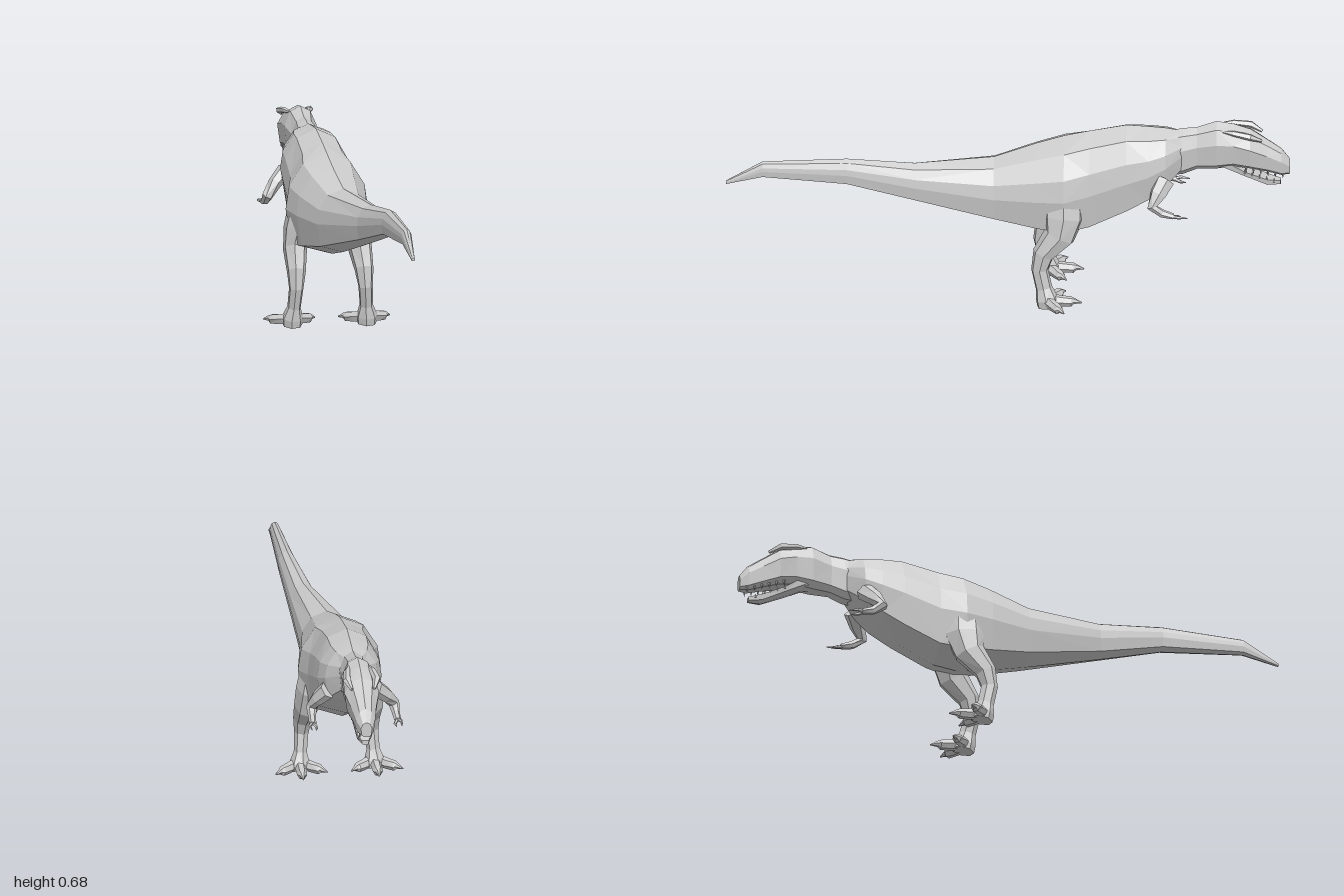
import * as THREE from 'three';

const material = new THREE.MeshStandardMaterial({ color: 0xcccccc, flatShading: true });

// Skin a list of equal-length point rings and close both ends.
function loft(rings) {
  const n = rings[0].length, last = (rings.length - 1) * n, index = [];
  for (let i = 0; i < rings.length - 1; i++) {
    for (let j = 0; j < n; j++) {
      const k = (j + 1) % n;
      const a = i * n + j, b = i * n + k, c = a + n, d = b + n;
      if ((i + j) % 2) index.push(a, c, b, b, c, d);
      else index.push(a, c, d, a, d, b);
    }
  }
  for (let j = 1; j < n - 1; j++) {
    index.push(0, j, j + 1, last, last + j + 1, last + j);
  }
  const geometry = new THREE.BufferGeometry().setFromPoints(rings.flat());
  geometry.setIndex(index);
  geometry.computeVertexNormals();
  return geometry;
}

// Sections along z: [z, centre x, half width, top y, bottom y].
function trunk(sections, outline) {
  const ring = [...outline, ...outline.slice(1, -1).reverse().map(([x, y]) => [-x, y])];
  return loft(sections.map(([z, cx, w, top, bottom]) => ring.map(([x, y]) =>
    new THREE.Vector3(cx + x * w, (top + bottom) / 2 + y * (top - bottom) / 2, z))));
}

// Limb along a path: [x, y, z, side radius, depth radius].
function limb(path, side = 1, sides = 6) {
  const points = path.map(([x, y, z]) => new THREE.Vector3(x * side, y, z));
  return loft(points.map((p, i) => {
    const t = points[Math.min(i + 1, points.length - 1)].clone()
      .sub(points[Math.max(i - 1, 0)]).normalize();
    const u = new THREE.Vector3(1, 0, 0).addScaledVector(t, -t.x).normalize();
    const v = u.clone().cross(t);
    const [, , , ru, rv] = path[i];
    return Array.from({ length: sides }, (_, j) => {
      const a = j / sides * Math.PI * 2;
      return p.clone().addScaledVector(u, Math.cos(a) * ru).addScaledVector(v, Math.sin(a) * rv);
    });
  }));
}

export function createModel() {
  const model = new THREE.Group();
  const add = (name, geometry, parent = model) => {
    const mesh = new THREE.Mesh(geometry, material);
    mesh.name = name;
    parent.add(mesh);
    return mesh;
  };
  const group = (name) => {
    const g = new THREE.Group();
    g.name = name;
    model.add(g);
    return g;
  };

  // Torso and tail, with the tail swung to the left
  add('bodyAndTail', trunk([
    [-0.62, 0, 0.045, 0.635, 0.49],
    [-0.56, 0, 0.095, 0.645, 0.43],
    [-0.50, 0, 0.115, 0.65, 0.38],
    [-0.42, 0, 0.12, 0.655, 0.33],
    [-0.29, 0, 0.125, 0.63, 0.265],
    [-0.20, 0, 0.148, 0.61, 0.25],
    [-0.10, 0.003, 0.13, 0.58, 0.265],
    [0.05, 0.015, 0.095, 0.53, 0.30],
    [0.33, 0.065, 0.05, 0.525, 0.385],
    [0.57, 0.093, 0.031, 0.552, 0.455],
    [0.87, 0.1, 0.018, 0.54, 0.48],
    [1.0, 0.1, 0.006, 0.462, 0.45],
  ], [[0, 1], [0.58, 0.8], [0.92, 0.35], [1, -0.1], [0.86, -0.8], [0, -1]]));

  // Neck, skull and upper jaw
  const head = group('head');
  add('neckAndSkull', trunk([
    [-1.0, 0, 0.02, 0.53, 0.475],
    [-0.97, 0, 0.035, 0.57, 0.473],
    [-0.92, 0, 0.045, 0.605, 0.488],
    [-0.86, 0, 0.062, 0.645, 0.503],
    [-0.80, 0, 0.058, 0.665, 0.51],
    [-0.74, 0, 0.058, 0.675, 0.5],
    [-0.67, 0, 0.044, 0.65, 0.495],
    [-0.62, 0, 0.05, 0.645, 0.475],
    [-0.5, 0, 0.05, 0.62, 0.46],
  ], [[0, 1], [0.62, 0.78], [1, 0.2], [0.85, -0.75], [0.45, -1], [0, -1]]), head);

  // Open lower jaw
  add('lowerJaw', trunk([
    [-0.967, 0, 0.014, 0.448, 0.43],
    [-0.92, 0, 0.03, 0.458, 0.43],
    [-0.84, 0, 0.04, 0.492, 0.468],
    [-0.77, 0, 0.045, 0.535, 0.498],
    [-0.70, 0, 0.035, 0.55, 0.5],
  ], [[0, 1], [0.9, 1], [0.8, -0.5], [0, -1]]), head);

  for (const side of [1, -1]) {
    const label = side > 0 ? 'left' : 'right';

    // Brow ridges and teeth
    add(label + 'Brow', limb([
      [0.04, 0.618, -0.9, 0.006, 0.006], [0.053, 0.638, -0.86, 0.015, 0.012],
      [0.045, 0.648, -0.8, 0.012, 0.01], [0.035, 0.65, -0.76, 0.004, 0.004]], side, 5), head);
    for (let i = 0; i < 6; i++) {
      const z = -0.975 + i * 0.026;
      const x = side * (0.02 + i * 0.0045);
      const upper = add('upperTooth', new THREE.ConeGeometry(0.005, 0.022, 4).rotateX(Math.PI), head);
      upper.position.set(x, 0.472 + i * 0.006, z);
      if (i === 0) continue;
      const lower = add('lowerTooth', new THREE.ConeGeometry(0.004, 0.016, 4), head);
      lower.position.set(x * 0.8, 0.443 + i * 0.01, z + 0.005);
    }

    // Leg with thigh, knee, shin and ankle
    const leg = group(label + 'Leg');
    add('thighAndShin', limb([
      [0.09, 0.43, -0.2, 0.045, 0.07], [0.105, 0.34, -0.2, 0.05, 0.075],
      [0.117, 0.27, -0.185, 0.043, 0.058], [0.122, 0.2, -0.128, 0.034, 0.04],
      [0.125, 0.14, -0.115, 0.026, 0.031], [0.13, 0.07, -0.13, 0.024, 0.03],
      [0.134, 0.03, -0.14, 0.038, 0.04], [0.134, 0.004, -0.145, 0.036, 0.04]], side, 7), leg);

    // Three splayed toes ending in claws
    for (const [x, z] of [[0.228, -0.205], [0.136, -0.265], [0.042, -0.205]]) {
      const at = (f) => [0.134 + (x - 0.134) * f, -0.13 + (z + 0.13) * f];
      const knot = (f, y, ru, rv) => [at(f)[0], y, at(f)[1], ru, rv];
      add('toe', limb([
        knot(0, 0.03, 0.02, 0.022), knot(0.45, 0.022, 0.019, 0.02),
        knot(0.72, 0.02, 0.018, 0.018), knot(0.8, 0.022, 0.01, 0.011),
        knot(1, 0.016, 0.002, 0.002)], side), leg);
    }

    // Small bent arm, the right one held a little wider
    const arm = group(label + 'Arm');
    const out = side > 0 ? 0 : 0.02;
    add('upperArmAndForearm', limb([
      [0.085, 0.48, -0.56, 0.03, 0.035], [0.118 + out / 2, 0.44, -0.535, 0.024, 0.03],
      [0.138 + out, 0.398, -0.515, 0.02, 0.02], [0.14 + out, 0.375, -0.55, 0.014, 0.015],
      [0.142 + out, 0.365, -0.59, 0.013, 0.01]], side), arm);
    for (const [dx, dy, z] of [[0.012, 0.002, -0.64], [-0.012, -0.006, -0.625]]) {
      add('finger', limb([
        [0.142 + out, 0.365, -0.58, 0.006, 0.007],
        [0.142 + out + dx, 0.364 + dy, -0.608, 0.006, 0.006],
        [0.142 + out + dx * 0.7, 0.36 + dy, z, 0.0015, 0.0015]], side, 5), arm);
    }
  }
  return model;
}
